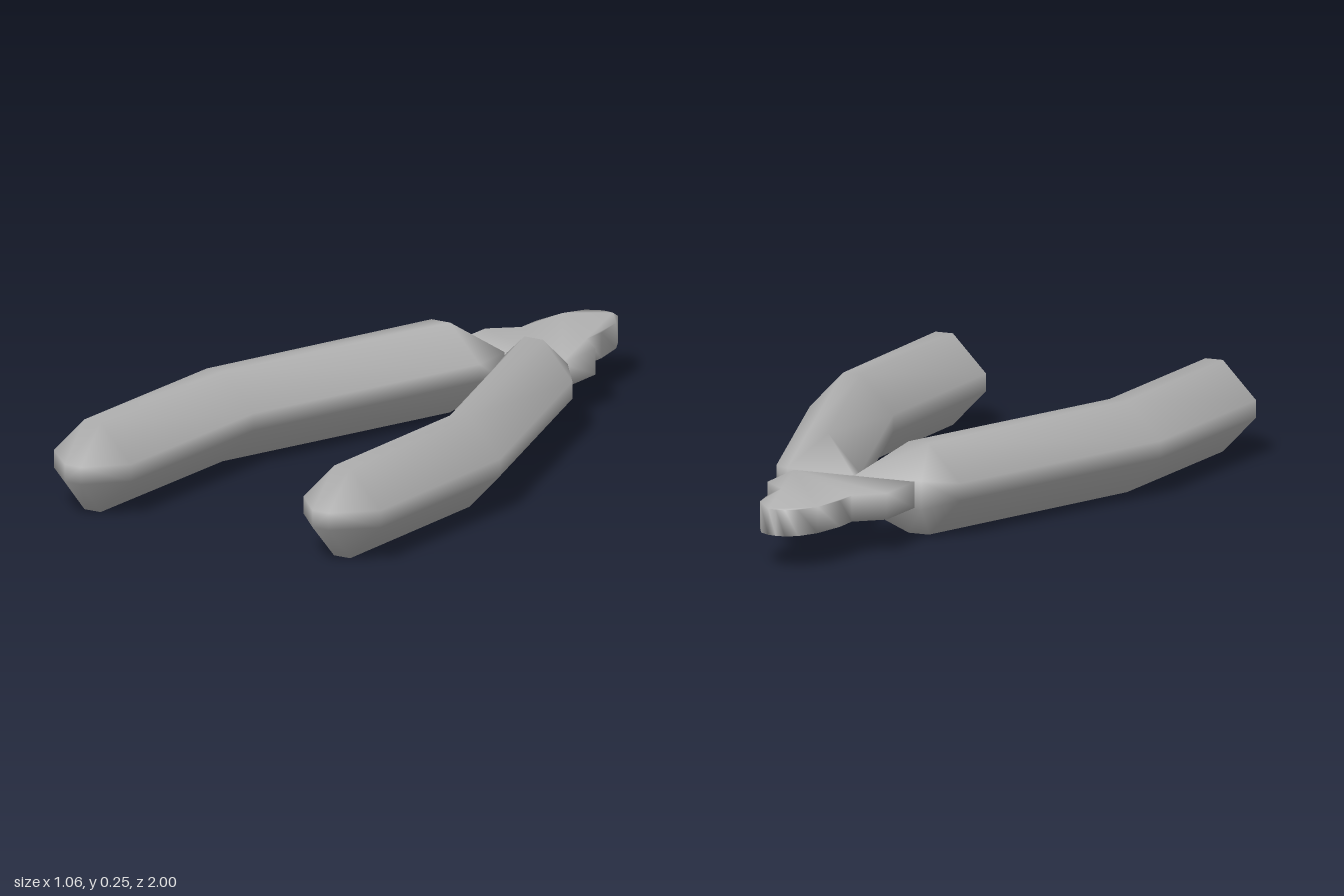
import * as THREE from 'three';
import { mergeVertices } from 'three/addons/utils/BufferGeometryUtils.js';

const MID_Y = 0.127;

// Weld corners so normals flow smoothly over every edge
function smooth(geometry) {
  geometry.deleteAttribute('normal');
  geometry.deleteAttribute('uv');
  const welded = mergeVertices(geometry, 1e-4);
  welded.clearGroups();
  welded.computeVertexNormals();
  return welded;
}

// Chamfered section: half sizes hx, hy with flats of half length fx, fy
function section({ x, z, hx, fx, hy, fy }, side) {
  const pts = [
    [hx, fy], [fx, hy], [-fx, hy], [-hx, fy],
    [-hx, -fy], [-fx, -hy], [fx, -hy], [hx, -fy],
  ].map(([px, py]) => [side * (x + px), MID_Y + py, z]);
  return side < 0 ? pts.reverse() : pts;
}

// Skin between sections running from front to back, capped at both ends
function loft(rings) {
  const n = rings[0].length, last = rings.length - 1;
  const index = [];
  for (let i = 0; i < last; i++) {
    for (let j = 0; j < n; j++) {
      const a = i * n + j, b = i * n + (j + 1) % n;
      index.push(a, a + n, b, b, a + n, b + n);
    }
  }
  for (let j = 1; j < n - 1; j++) {
    index.push(0, j, j + 1);
    index.push(last * n, last * n + j + 1, last * n + j);
  }
  const g = new THREE.BufferGeometry();
  g.setAttribute('position', new THREE.Float32BufferAttribute(rings.flat(2), 3));
  g.setIndex(index);
  return smooth(g);
}

export function createModel() {
  const group = new THREE.Group();
  group.name = 'pliers';
  const steel = new THREE.MeshStandardMaterial({ color: 0xb4b4b4 });
  steel.name = 'grey steel';

  const add = (name, geometry) => {
    const mesh = new THREE.Mesh(geometry, steel);
    mesh.name = name;
    group.add(mesh);
  };

  // Bent handles with bevelled ends, meeting at the pivot
  const full = { hx: 0.125, fx: 0.026, hy: 0.126, fy: 0.024 };
  const handle = [
    { x: 0.4, z: 1, hx: 0.026, fx: 0.026, hy: 0.024, fy: 0.024 },
    { ...full, x: 0.403, z: 0.9 },
    { ...full, x: 0.398, z: 0.31 },
    { ...full, x: 0.15, z: -0.42, fx: 0.03 },
    { x: 0.102, z: -0.51, hx: 0.098, fx: 0.098, hy: 0.04, fy: 0.04 },
  ];
  for (const [name, side] of [['leftHandle', 1], ['rightHandle', -1]]) {
    add(name, loft(handle.map((s) => section(s, side))));
  }

  // Flat jaw plate: shoulders narrowing to a rounded nose
  const half = [
    [0.18, 0.51], [0.178, 0.68], [0.105, 0.745], [0.105, 0.82],
    [0.086, 0.92], [0.055, 0.977], [0.025, 0.996],
  ];
  const outline = [
    ...half, [0, 1], ...half.map(([x, y]) => [-x, y]).reverse(),
  ].map(([x, y]) => new THREE.Vector2(x, y));
  const jaw = new THREE.ExtrudeGeometry(new THREE.Shape(outline), {
    depth: 0.072, bevelEnabled: false,
  });
  jaw.rotateX(-Math.PI / 2);
  jaw.translate(0, 0.092, 0);
  add('jaws', smooth(jaw));

  // Rest the handles exactly on the ground
  group.children.forEach((m) => m.geometry.translate(0, -0.001, 0));
  return group;
}
